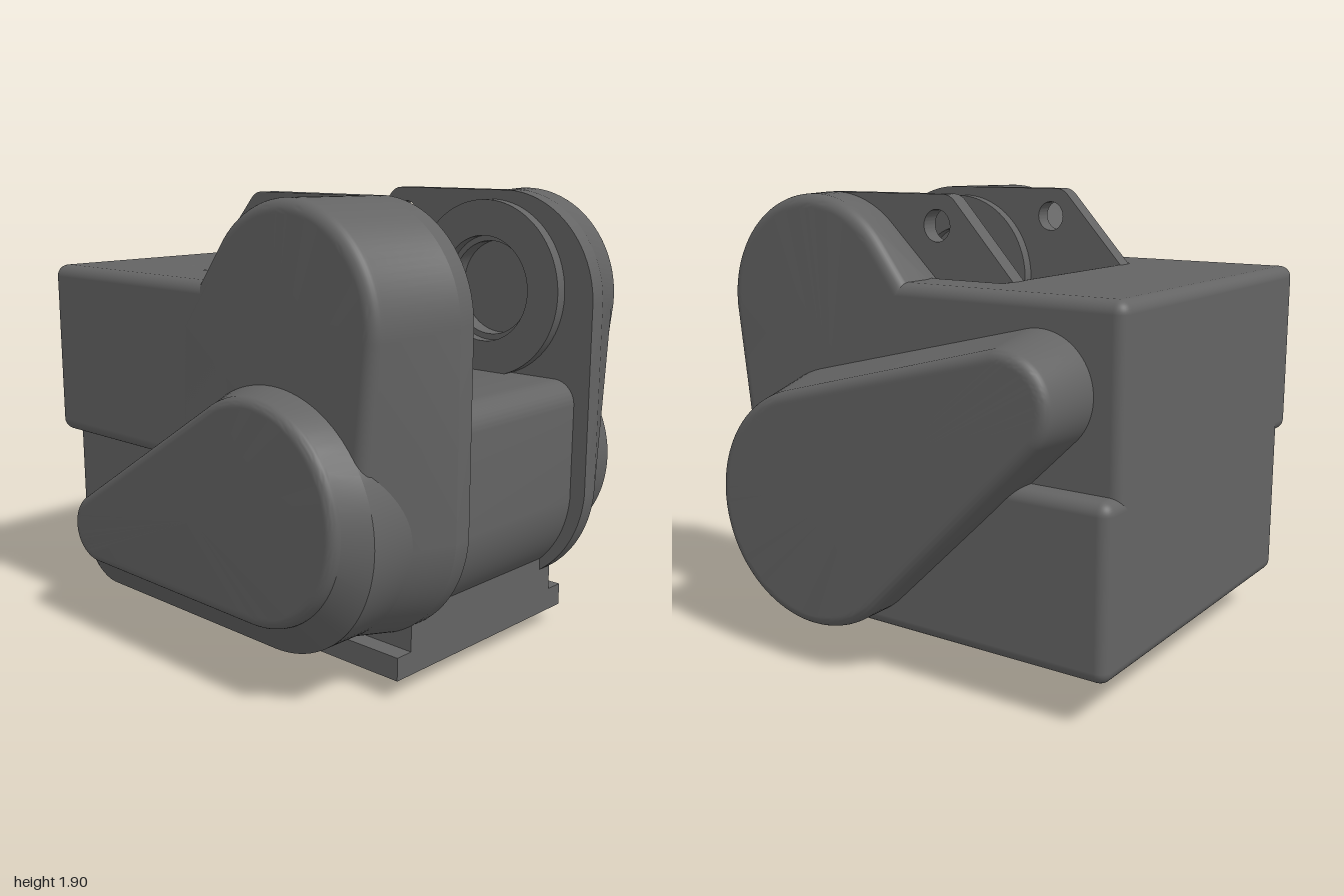
import * as THREE from 'three';
import { toCreasedNormals } from 'three/addons/utils/BufferGeometryUtils.js';
import { RoundedBoxGeometry } from 'three/addons/geometries/RoundedBoxGeometry.js';

const material = new THREE.MeshStandardMaterial({ color: 0x646464 });
const N = 96;

// Convex outline [z, y] wrapped around circles [z, y, r], shrunk by inset
function hull(circles, inset = 0) {
  const pts = [];
  for (let i = 0; i < N; i++) {
    const a = (i / N) * Math.PI * 2, c = Math.cos(a), s = Math.sin(a);
    let best = null, far = -Infinity;
    for (const k of circles) {
      const d = k[0] * c + k[1] * s + k[2];
      if (d > far) { far = d; best = k; }
    }
    const r = best[2] - inset;
    pts.push([best[0] + r * c, best[1] + r * s]);
  }
  return pts;
}

// Closed skin through outlines placed along x: sections = [[x, outline], ...]
function loft(sections) {
  const pos = [], idx = [];
  const flip = sections.at(-1)[0] < sections[0][0];
  const tri = (a, b, c) => (flip ? idx.push(a, b, c) : idx.push(a, c, b));
  for (const [x, pts] of sections) for (const [z, y] of pts) pos.push(x, y, z);
  for (let i = 0; i < sections.length - 1; i++) {
    for (let j = 0; j < N; j++) {
      const a = i * N + j, b = i * N + ((j + 1) % N);
      tri(a, b, a + N);
      tri(b, b + N, a + N);
    }
  }
  [0, sections.length - 1].forEach((i) => {
    const [x, pts] = sections[i], centre = pos.length / 3;
    const z = pts.reduce((t, p) => t + p[0], 0) / N, y = pts.reduce((t, p) => t + p[1], 0) / N;
    pos.push(x, y, z);
    for (let j = 0; j < N; j++) {
      const a = i * N + j, b = i * N + ((j + 1) % N);
      if (i === 0) tri(centre, b, a); else tri(centre, a, b);
    }
  });
  const g = new THREE.BufferGeometry();
  g.setAttribute('position', new THREE.Float32BufferAttribute(pos, 3));
  g.setIndex(idx);
  return toCreasedNormals(g, 0.5);
}

// Sections of a part whose outer rim is rounded by radius r
function rounded(x0, x1, baseCircles, outerCircles, r) {
  const s = Math.sign(x1 - x0), sections = [[x0, hull(baseCircles)]];
  for (let i = 0; i <= 8; i++) {
    const a = (i / 8) * Math.PI / 2;
    sections.push([x1 - s * r * (1 - Math.sin(a)), hull(outerCircles, r * (1 - Math.cos(a)))]);
  }
  // Narrow flat ring keeps the end face evenly shaded
  sections.push([x1, hull(outerCircles, r + 0.008)]);
  return sections;
}

const hole = (x, y, r) => new THREE.Path().absarc(x, y, r, 0, Math.PI * 2, true);

// Side outline [z, y] extruded from x0 to x1, with round holes [z, y, r]
function slab(pts, x0, x1, holes = []) {
  const shape = new THREE.Shape(pts.map(([z, y]) => new THREE.Vector2(-z, y)));
  shape.holes = holes.map(([z, y, r]) => hole(-z, y, r));
  const g = new THREE.ExtrudeGeometry(shape, { depth: x1 - x0, bevelEnabled: false, curveSegments: 32 });
  g.rotateY(Math.PI / 2).translate(x0, 0, 0);
  return toCreasedNormals(g, 0.5);
}

// Plan shape drawn in (x, -z), extruded from y0 to y1
function plan(shape, y0, y1) {
  const g = new THREE.ExtrudeGeometry(shape, { depth: y1 - y0, bevelEnabled: false, curveSegments: 24 });
  return toCreasedNormals(g.rotateX(-Math.PI / 2).translate(0, y0, 0), 0.5);
}

function rect(x0, x1, z0, z1) {
  return new THREE.Shape([[x0, -z1], [x1, -z1], [x1, -z0], [x0, -z0]].map((p) => new THREE.Vector2(...p)));
}

function block(x0, x1, y0, y1, z0, z1, r = 0.05) {
  const g = r ? new RoundedBoxGeometry(x1 - x0, y1 - y0, z1 - z0, 4, r)
    : new THREE.BoxGeometry(x1 - x0, y1 - y0, z1 - z0);
  return g.translate((x0 + x1) / 2, (y0 + y1) / 2, (z0 + z1) / 2);
}

export function createModel() {
  const model = new THREE.Group();
  const add = (name, geometry) => {
    const mesh = new THREE.Mesh(geometry, material);
    mesh.name = name;
    model.add(mesh);
  };

  // Housing: lower half offset sideways from the upper, joined by a flush middle
  add('lowerHousing', block(-0.75, 0.8, 0.185, 0.87, -1, 0.3));
  add('upperHousing', block(-0.84, 0.71, 0.83, 1.57, -1, -0.3));
  add('middleHousing', block(-0.75, 0.71, 0.185, 1.57, -1, -0.3));
  add('housingSideRight', block(-0.84, -0.49, 0.83, 1.57, -0.6, 0.2));
  add('housingSideLeft', block(0.44, 0.71, 0.83, 1.57, -0.6, 0.2));

  // Rear wall of the recess with a rounded top edge
  const wall = [[-0.6, 0.9], [-0.22, 0.9]];
  for (let i = 0; i <= 10; i++) {
    const a = (i / 10) * Math.PI / 2;
    wall.push([-0.38 + 0.16 * Math.cos(a), 1.41 + 0.16 * Math.sin(a)]);
  }
  wall.push([-0.6, 1.57]);
  add('recessWall', slab(wall.reverse(), -0.49, 0.44));

  // Core between the arms: flat front, rounded top corner and underside
  const core = [[0.83, 1.03, 0.1], [0.48, 0.66, 0.45], [0.12, 1.11, 0.02], [0.12, 0.3, 0.02]];
  add('core', slab(hull(core).reverse(), -0.49, 0.44));

  // Slotted deck behind the core
  const deck = rect(-0.43, 0.38, -0.3, 0.15);
  for (const x of [-0.21, 0.16]) {
    const slot = new THREE.Path();
    slot.absarc(x + 0.065, 0.07, 0.07, -Math.PI / 2, Math.PI / 2);
    slot.absarc(x - 0.065, 0.07, 0.07, Math.PI / 2, Math.PI * 1.5);
    slot.closePath();
    deck.holes.push(slot);
  }
  add('slottedDeck', plan(deck, 1.05, 1.13));

  // Arms, each with an inner lug plate and a bearing ring
  const armInner = [[0.55, 1.45, 0.45], [0.5, 0.69, 0.5], [-0.06, 1.38, 0.08], [0.02, 0.5, 0.08]];
  const armOuter = [[0.46, 1.45, 0.45], [0.32, 0.69, 0.5], [-0.06, 1.38, 0.08], [0.02, 0.5, 0.08]];
  const lug = [[0.55, 1.45, 0.45], [0.5, 0.69, 0.5], [-0.02, 1.82, 0.08], [-0.35, 1.55, 0.02], [-0.35, 1.1, 0.02]];
  const arms = [
    { side: 'Right', s: -1, ring: -0.365, plate: -0.415, base: -0.49, end: -0.84 },
    { side: 'Left', s: 1, ring: 0.315, plate: 0.365, base: 0.44, end: 0.71 },
  ];
  for (const { side, s, ring, plate, base, end } of arms) {
    const span = (a, b) => (s > 0 ? [a, b] : [b, a]);
    add('arm' + side, loft(rounded(base, end, armInner, armOuter, 0.05)));
    add('lugPlate' + side, slab(hull(lug).reverse(), ...span(plate, base), [[0.01, 1.775, 0.065], [0.49, 1.485, 0.2]]));
    add('bearingRing' + side, slab(hull([[0.49, 1.485, 0.375]]).reverse(), ...span(ring, plate), [[0.49, 1.485, 0.225]]));
  }

  // Teardrop side covers
  const leftBase = [[0.28, 0.7, 0.51], [-0.65, 1.22, 0.23]];
  add('coverLeft', loft([
    [0.5, hull(leftBase)],
    ...rounded(0.71, 0.96, leftBase, [[0.28, 0.67, 0.485], [-0.64, 1.2, 0.205]], 0.045),
  ]));
  const rightBase = [[0.4, 0.7, 0.515], [-0.62, 0.4, 0.21]];
  add('coverRight', loft([
    [-0.6, hull(rightBase)],
    ...rounded(-0.84, -0.97, rightBase, [[0.4, 0.75, 0.44], [-0.59, 0.47, 0.15]], 0.04),
  ]));

  // Foot and drilled base plate
  add('foot', block(-0.49, 0.44, 0.17, 0.34, -0.35, 0.79, 0));
  const base = rect(-0.57, 0.525, -0.42, 0.79);
  for (const x of [-0.45, 0.37]) for (const z of [-0.1, 0.31, 0.7]) base.holes.push(hole(x, -z, 0.04));
  for (const x of [-0.27, 0.22]) for (const z of [0.36, 0.6]) base.holes.push(hole(x, -z, 0.014));
  add('basePlate', plan(base, 0.08, 0.175));

  // Round flange with a drilled, recessed floor and a central hub
  const disc = (r) => new THREE.Shape().absarc(-0.025, 0.05, r, 0, Math.PI * 2);
  const rim = disc(0.31);
  rim.holes.push(hole(-0.025, 0.05, 0.265));
  add('flangeRim', plan(rim, 0, 0.085));
  const floor = disc(0.27);
  floor.holes.push(hole(-0.025, 0.05, 0.09));
  for (let i = 0; i < 4; i++) {
    const a = (i * Math.PI) / 2;
    floor.holes.push(hole(-0.025 + 0.23 * Math.cos(a), 0.05 + 0.23 * Math.sin(a), 0.024));
  }
  add('flangeFloor', plan(floor, 0.04, 0.085));
  const hub = [[0.065, 0.1], [0.065, 0.025], [0.1, 0.025], [0.1, 0.045]].map((p) => new THREE.Vector2(...p));
  add('flangeHub', toCreasedNormals(new THREE.LatheGeometry(hub, 48), 0.5).translate(-0.025, 0, -0.05));

  return model;
}
